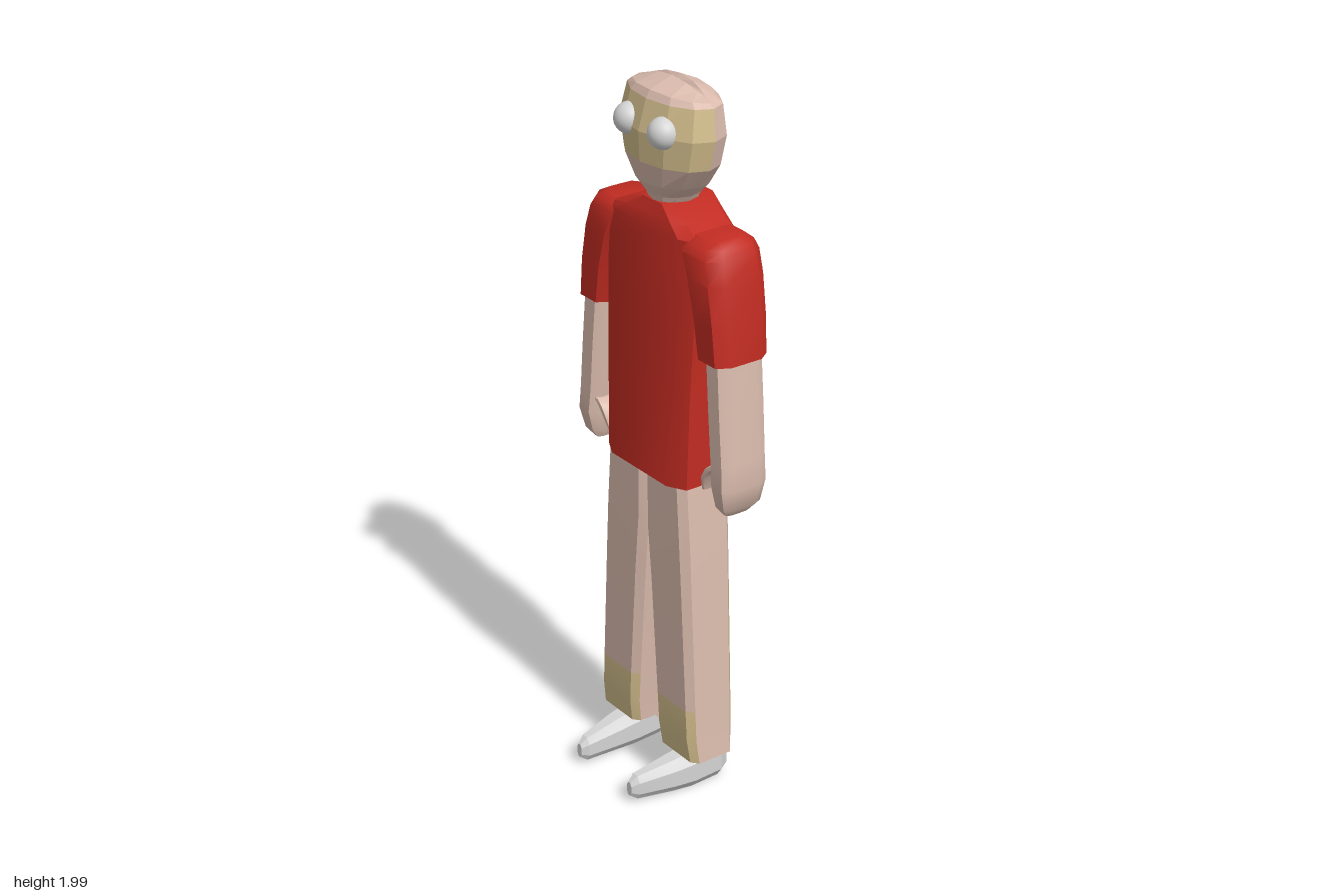
import * as THREE from 'three';
import { toCreasedNormals } from 'three/addons/utils/BufferGeometryUtils.js';

const material = (name, color, flatShading = false) => {
  const m = new THREE.MeshStandardMaterial({ color, flatShading });
  m.name = name;
  return m;
};

// Cross-section: rectangle with cut corners. Row = [y, x0, x1, z0, z1, cut]
function octagon([y, x0, x1, z0, z1, cut = 0.2]) {
  const a = (x1 - x0) * cut, b = (z1 - z0) * cut;
  return [[x1, z0 + b], [x1, z1 - b], [x1 - a, z1], [x0 + a, z1],
    [x0, z1 - b], [x0, z0 + b], [x0 + a, z0], [x1 - a, z0]]
    .map(([x, z]) => new THREE.Vector3(x, y, z));
}

// Cross-section: twelve-sided ellipse whose ends droop. Row = [y, halfWidth, z0, z1, droop]
function ellipse([y, w, z0, z1, droop = 0]) {
  return Array.from({ length: 12 }, (_, j) => {
    const t = (j / 12) * Math.PI * 2, c = Math.cos(t);
    return new THREE.Vector3(w * c, y - droop * c * c,
      (z0 + z1) / 2 + ((z1 - z0) / 2) * Math.sin(t));
  });
}

// Skin the rings from low to high; paint(ring, side) picks the material slot
function loft(rings, crease = 0.6, paint = () => 0) {
  const slots = [[], []];
  const tri = (slot, ...points) => points.forEach((p) => slots[slot].push(p.x, p.y, p.z));
  const n = rings[0].length, last = rings.length - 1;
  const middle = (r) => r.reduce((s, p) => s.add(p), new THREE.Vector3()).divideScalar(n);
  const low = middle(rings[0]), high = middle(rings[last]);
  for (let j = 0; j < n; j++) {
    const k = (j + 1) % n;
    for (let i = 0; i < last; i++) {
      const a = rings[i], b = rings[i + 1], slot = paint(i, j);
      tri(slot, a[j], b[j], a[k]);
      tri(slot, a[k], b[j], b[k]);
    }
    tri(0, low, rings[0][j], rings[0][k]);
    tri(0, high, rings[last][k], rings[last][j]);
  }
  const g = new THREE.BufferGeometry();
  g.setAttribute('position', new THREE.Float32BufferAttribute(slots.flat(), 3));
  g.addGroup(0, slots[0].length / 3, 0);
  if (slots[1].length) g.addGroup(slots[0].length / 3, slots[1].length / 3, 1);
  return toCreasedNormals(g, crease);
}

// Mirrored copy across x = 0 with the corner order put right
function mirror(source) {
  const g = source.clone();
  for (const name of ['position', 'normal']) {
    const a = g.attributes[name];
    for (let i = 0; i < a.count; i += 3) {
      const p = [0, 2, 1].map((k) => new THREE.Vector3().fromBufferAttribute(a, i + k));
      p.forEach((v, k) => a.setXYZ(i + k, -v.x, v.y, v.z));
    }
  }
  return g;
}

export function createModel() {
  const model = new THREE.Group();
  model.name = 'standingFigure';
  const skin = material('skin', 0xdabbad);
  const tan = material('tan', 0xd2bd8c);
  const red = material('shirtRed', 0xc22c22);
  const grey = material('paleGrey', 0xd4d4d4);

  const add = (name, geometry, mat) => {
    const mesh = new THREE.Mesh(geometry, mat);
    mesh.name = name;
    model.add(mesh);
    return mesh;
  };
  const pair = (name, geometry, mat) => {
    add(name + 'Left', geometry, mat);
    add(name + 'Right', mirror(geometry), mat);
  };

  // Faceted head with a tan face band and a ridge across the crown
  add('head', loft([
    [1.66, 0.045, -0.135, -0.01],
    [1.70, 0.07, -0.14, 0.005],
    [1.735, 0.11, -0.15, 0.025],
    [1.795, 0.158, -0.158, 0.04],
    [1.875, 0.176, -0.168, 0.044],
    [1.955, 0.162, -0.155, 0.02],
    [1.975, 0.145, -0.14, 0.008, 0.01],
    [2.0, 0.11, -0.085, -0.06, 0.025],
  ].map(ellipse), 0.1, (i, j) => (i >= 3 && i <= 4 && j < 6 ? 1 : 0)), [skin, tan]);

  // Eyes
  for (const s of [1, -1]) {
    add(s > 0 ? 'eyeLeft' : 'eyeRight', new THREE.SphereGeometry(0.042, 24, 16), grey)
      .position.set(s * 0.071, 1.885, 0.018);
  }

  // Shirt body
  add('shirtBody', loft([
    [0.94, -0.173, 0.173, -0.138, 0.045, 0.15],
    [1.2, -0.178, 0.178, -0.14, 0.04, 0.15],
    [1.42, -0.185, 0.185, -0.143, 0.032, 0.15],
    [1.56, -0.2, 0.2, -0.148, 0.026, 0.15],
    [1.625, -0.19, 0.19, -0.152, 0.02, 0.15],
    [1.652, -0.13, 0.13, -0.155, 0.012, 0.15],
    [1.685, -0.055, 0.055, -0.16, 0.0, 0.15],
  ].map(octagon)), red);

  // Sleeves
  pair('sleeve', loft([
    [1.332, 0.2, 0.314, -0.142, 0.022],
    [1.44, 0.18, 0.305, -0.146, 0.024],
    [1.54, 0.15, 0.289, -0.15, 0.024],
    [1.60, 0.12, 0.275, -0.15, 0.02],
    [1.625, 0.11, 0.262, -0.142, 0.008],
    [1.64, 0.1, 0.235, -0.125, -0.015],
  ].map(octagon), 0.9), red);

  // Bare forearms ending in mitten hands
  pair('arm', loft([
    [0.905, 0.272, 0.298, -0.095, -0.02],
    [0.93, 0.262, 0.318, -0.118, 0.0],
    [0.99, 0.258, 0.33, -0.128, 0.014],
    [1.06, 0.25, 0.325, -0.128, 0.012],
    [1.2, 0.238, 0.313, -0.13, 0.012],
    [1.36, 0.224, 0.3, -0.13, 0.01],
  ].map(octagon), 0.8), skin);

  // Thumbs hooked inward
  pair('thumb', loft([
    [0.95, 0.2, 0.212, -0.05, -0.01],
    [0.99, 0.206, 0.226, -0.06, 0.0],
    [1.02, 0.222, 0.25, -0.06, 0.002],
    [1.035, 0.242, 0.275, -0.055, 0.0],
  ].map(octagon), 0.9), skin);

  // Trouser legs: tan cuff in front, tan patch behind
  pair('trouserLeg', loft([
    [0.12, 0.052, 0.218, -0.118, 0.018],
    [0.19, 0.048, 0.213, -0.122, 0.027],
    [0.28, 0.042, 0.208, -0.124, 0.028],
    [0.62, 0.016, 0.19, -0.128, 0.03],
    [0.78, 0.0, 0.181, -0.13, 0.031],
    [0.97, 0.0, 0.165, -0.13, 0.031],
  ].map((row) => octagon([...row, 0.12])), 0.5, (i, j) => {
    const front = j >= 1 && j <= 3 && i < 2;
    const back = j >= 5 && i >= 1 && i < 3;
    return front || back ? 1 : 0;
  }), [skin, tan]);

  // Ankles
  pair('ankle', loft([
    [0.07, 0.095, 0.17, -0.115, -0.01],
    [0.14, 0.09, 0.18, -0.112, 0.005],
  ].map(octagon)), skin);

  // Shoes, lofted from heel to toe: [z, x0, x1, -top, -bottom]
  pair('shoe', loft([
    [-0.14, 0.11, 0.155, -0.08, -0.025],
    [-0.11, 0.096, 0.172, -0.115, -0.008],
    [-0.02, 0.09, 0.176, -0.118, -0.006],
    [0.04, 0.091, 0.168, -0.108, -0.01],
    [0.145, 0.098, 0.14, -0.088, -0.016],
    [0.165, 0.108, 0.128, -0.07, -0.03],
  ].map((row) => octagon([...row, 0.26])), 0.3).rotateX(Math.PI / 2), grey);

  return model;
}
